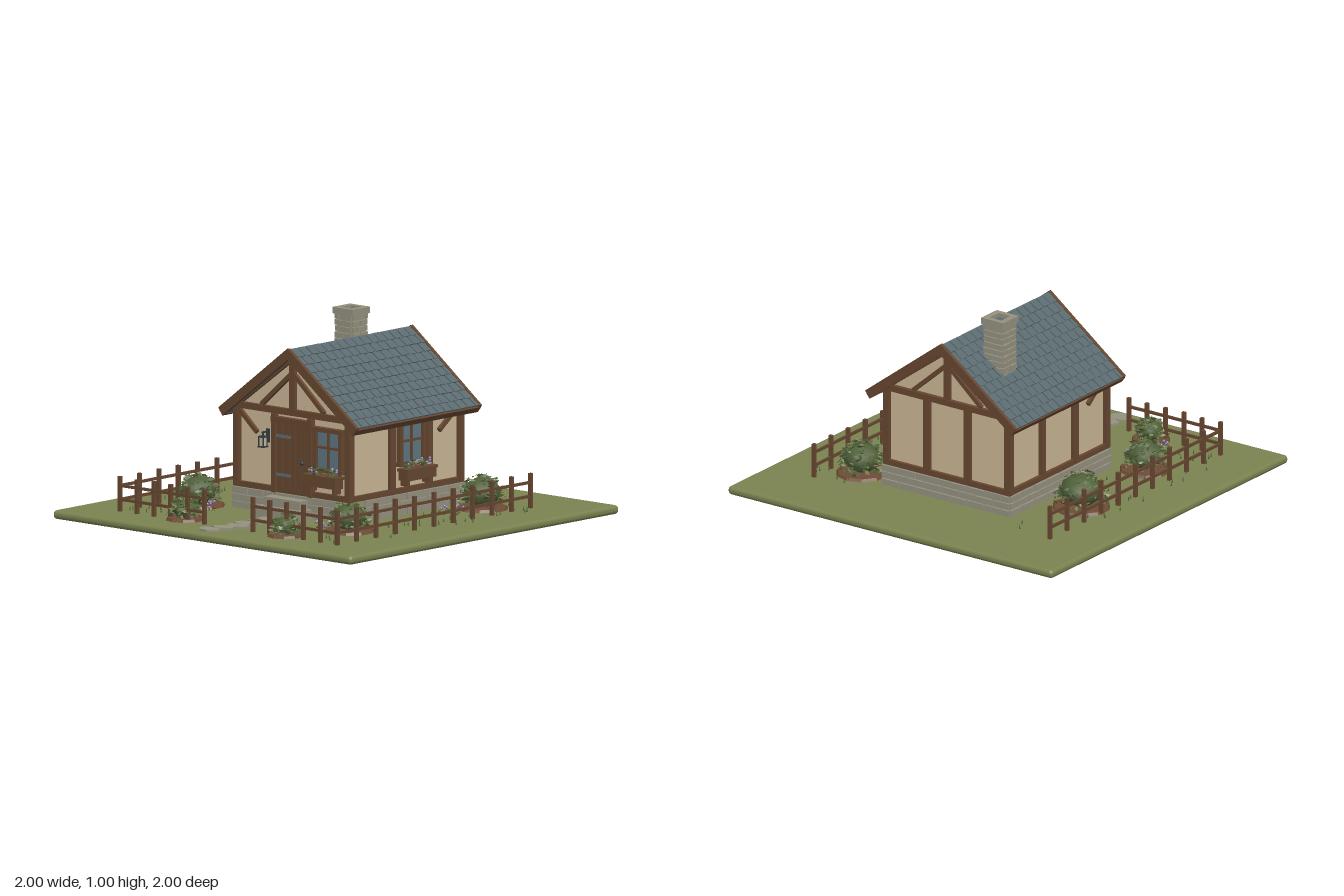
import * as THREE from 'three';
import { mergeGeometries } from 'three/addons/utils/BufferGeometryUtils.js';
import { RoundedBoxGeometry } from 'three/addons/geometries/RoundedBoxGeometry.js';

const mat = (name, color) => Object.assign(new THREE.MeshStandardMaterial({ color }), { name });
const M = {
  grass: mat('grass', 0x7a8250), plaster: mat('plaster', 0xc9b594), timber: mat('timber', 0x664630),
  stone: mat('stone', 0x94917f), slate: mat('slate', 0x5b6b70), dark: mat('darkSlate', 0x323c40),
  glass: mat('glass', 0x5d7682), leaf: mat('foliage', 0x4f6038), soil: mat('soil', 0x6f4b36),
  flower: mat('flower', 0x8a78ac),
};
M.leaf.side = THREE.DoubleSide;
M.grass.side = THREE.DoubleSide;

let seed = 7;
const rnd = (a = 0, b = 1) => {
  seed = (seed * 16807) % 2147483647;
  return a + (b - a) * (seed / 2147483647);
};

const bg = (w, h, d, x, y, z) => new THREE.BoxGeometry(w, h, d).translate(x, y, z);
function add(parent, name, material, geo) {
  const m = new THREE.Mesh(Array.isArray(geo) ? mergeGeometries(geo) : geo, material);
  m.name = name;
  parent.add(m);
  return m;
}
const box = (p, name, material, ...dims) => add(p, name, material, bg(...dims));
function group(parent, name, x = 0, y = 0, z = 0, ry = 0) {
  const g = new THREE.Group();
  g.name = name;
  g.position.set(x, y, z);
  g.rotation.y = ry;
  parent.add(g);
  return g;
}
// Bar in the local xy plane between two points
function bar(x1, y1, x2, y2, w, d, z) {
  return new THREE.BoxGeometry(Math.hypot(x2 - x1, y2 - y1), w, d)
    .rotateZ(Math.atan2(y2 - y1, x2 - x1)).translate((x1 + x2) / 2, (y1 + y2) / 2, z);
}
// Small folded leaves scattered on a dome
function leaves(n, rx, ry, rz, size) {
  return Array.from({ length: n }, () => {
    const a = rnd(0, Math.PI * 2), e = Math.asin(rnd(-0.1, 1)), r = rnd(0.85, 1.1);
    return new THREE.CircleGeometry(size * rnd(0.7, 1.3), 4).scale(1, 0.5, 1)
      .rotateX(rnd(-1.6, 0)).rotateY(rnd(0, 6.28)).rotateZ(rnd(-0.6, 0.6))
      .translate(Math.cos(a) * Math.cos(e) * rx * r, Math.sin(e) * ry * r, Math.sin(a) * Math.cos(e) * rz * r);
  });
}
const blooms = (n, rx, y0, y1, rz) => Array.from({ length: n }, () =>
  new THREE.IcosahedronGeometry(0.008, 0).translate(rnd(-rx, rx), rnd(y0, y1), rnd(-rz, rz)));

// Window with cross bars, sill and planted box; local z points out of the wall
function addWindow(wall, u) {
  const g = group(wall, 'window', u, 0, 0);
  box(g, 'glass', M.glass, 0.16, 0.2, 0.008, 0, 0.4, 0.006);
  add(g, 'windowFrame', M.timber, [
    bg(0.022, 0.22, 0.03, -0.085, 0.4, 0.012), bg(0.022, 0.22, 0.03, 0.085, 0.4, 0.012),
    bg(0.205, 0.022, 0.036, 0, 0.505, 0.014), bg(0.2, 0.02, 0.034, 0, 0.3, 0.014),
    bg(0.012, 0.2, 0.016, 0, 0.4, 0.012), bg(0.16, 0.012, 0.016, 0, 0.415, 0.012)]);
  const p = group(g, 'planter', 0, 0.25, 0.055);
  add(p, 'planterBox', M.timber, [bg(0.215, 0.05, 0.06, 0, 0, 0), bg(0.225, 0.014, 0.072, 0, 0.028, 0),
    bg(0.016, 0.04, 0.05, -0.08, -0.035, -0.01), bg(0.016, 0.04, 0.05, 0.08, -0.035, -0.01)]);
  add(p, 'planterLeaves', M.leaf, leaves(80, 0.1, 0.035, 0.03, 0.013).map(l => l.translate(0, 0.035, 0)));
  add(p, 'planterFlowers', M.flower, blooms(9, 0.1, 0.045, 0.07, 0.03));
}

// Timber lines shared by all walls
function addTimbers(wall, half, posts, beamY) {
  add(wall, 'wallTimbers', M.timber, [
    ...[-half + 0.012, ...posts, half - 0.012].map(u => bg(0.036, 0.4, 0.03, u, 0.355, 0.005)),
    bg(half * 2, 0.032, 0.034, 0, beamY, 0.005), bg(half * 2, 0.028, 0.026, 0, 0.168, 0.005)]);
}
const addGableTimbers = wall => add(wall, 'gableTimbers', M.timber, [
  bg(0.034, 0.28, 0.028, 0, 0.71, 0.005),
  ...[-1, 1].flatMap(s => [bar(s * 0.21, 0.585, s * 0.015, 0.755, 0.022, 0.024, 0.005),
    bar(s * 0.41, 0.545, 0, 0.845, 0.03, 0.024, 0.005)])]);

// Courses of staggered blocks around a rectangle
function courses(w, d, y0, rows, rh, len) {
  const out = [];
  for (let r = 0; r < rows; r++) {
    for (const [span, off, turn] of [[w, d / 2, 0], [w, d / 2, Math.PI], [d, w / 2, Math.PI / 2], [d, w / 2, -Math.PI / 2]]) {
      for (let a = -span / 2 - (r % 2) * len / 2; a < span / 2 - 0.001; a += len) {
        const l = Math.max(a, -span / 2), e = Math.min(a + len, span / 2);
        if (e - l < 0.015) continue;
        out.push(bg(e - l - 0.006, rh - 0.006, 0.02, (l + e) / 2, y0 + (r + 0.5) * rh, off - 0.006 + rnd(0, 0.005)).rotateY(turn));
      }
    }
  }
  return out;
}

function addRoof(house) {
  const a = Math.atan2(0.345, 0.455), L = 0.571, D = 0.9, rows = 10, W = 0.056, rl = L / rows;
  [0, Math.PI].forEach(turn => {
    const g = group(house, 'roofSlope', 0, 0.885, -0.105);
    g.rotation.set(0, turn, -a);
    box(g, 'roofDeck', M.slate, L, 0.028, D, L / 2, -0.022, 0);
    box(g, 'shingleJoints', M.dark, L - 0.01, 0.006, D - 0.01, L / 2, -0.005, 0);
    const tiles = [];
    for (let r = 0; r < rows; r++) {
      for (let z = -D / 2 - (r % 2) * W / 2; z < D / 2 - 0.002; z += W) {
        const z0 = Math.max(z, -D / 2), z1 = Math.min(z + W, D / 2);
        tiles.push(new THREE.BoxGeometry(rl + 0.004, 0.008, Math.max(z1 - z0 - 0.007, 0.004)).rotateZ(0.07)
          .translate((r + 0.5) * rl, 0.001 + rnd(0, 0.002), (z0 + z1) / 2));
      }
    }
    add(g, 'shingles', M.slate, tiles);
    add(g, 'roofTrim', M.timber, [bg(L + 0.01, 0.046, 0.018, L / 2, -0.015, 0.457),
      bg(L + 0.01, 0.046, 0.018, L / 2, -0.015, -0.457), bg(0.014, 0.034, 0.93, L, -0.022, 0)]);
  });
}

function addShrub(parent, x, z, bed, r, h) {
  const g = group(parent, 'shrub', x, 0.045, z);
  add(g, 'soilBed', M.soil, new THREE.CylinderGeometry(bed * 0.93, bed, 0.016, 10).toNonIndexed().translate(0, 0.006, 0))
    .geometry.computeVertexNormals();
  add(g, 'shrubCore', M.leaf, new THREE.IcosahedronGeometry(1, 1).scale(r * 0.85, h * 0.45, r * 0.85).translate(0, h * 0.5, 0));
  [['darkLeaves', M.leaf, 170], ['lightLeaves', M.grass, 80]].forEach(([n, m, c]) =>
    add(g, n, m, leaves(c, r, h * 0.72, r, 0.017).map(l => l.translate(0, h * 0.25, 0))));
}

export function createModel() {
  const root = new THREE.Group();
  root.name = 'cottageGarden';
  add(root, 'lawn', M.grass, new RoundedBoxGeometry(2, 0.045, 2, 3, 0.02).translate(0, 0.0225, 0));

  // House body
  const house = group(root, 'house');
  const s = new THREE.Shape([[-0.37, 0.14], [0.37, 0.14], [0.37, 0.56], [0, 0.838], [-0.37, 0.56]].map(p => new THREE.Vector2(...p)));
  add(house, 'plasterWalls', M.plaster, new THREE.ExtrudeGeometry(s, { depth: 0.81, bevelEnabled: false }).translate(0, 0, -0.5));
  const base = group(house, 'foundation', 0, 0, -0.095);
  box(base, 'foundationCore', M.stone, 0.775, 0.112, 0.845, 0, 0.1, 0);
  add(base, 'foundationStones', M.stone, courses(0.785, 0.855, 0.045, 3, 0.037, 0.105));
  addRoof(house);

  // Front wall: door, window, lantern
  const front = group(house, 'frontWall', 0, 0, 0.31);
  addTimbers(front, 0.385, [], 0.567);
  addGableTimbers(front);
  add(front, 'frontBrace', M.timber, bar(-0.36, 0.545, -0.24, 0.44, 0.022, 0.024, 0.005));
  add(front, 'doorFrame', M.timber, [bg(0.028, 0.4, 0.036, -0.118, 0.35, 0.01), bg(0.028, 0.4, 0.036, 0.125, 0.35, 0.01),
    bg(0.27, 0.028, 0.04, 0.003, 0.523, 0.01)]);
  box(front, 'doorGaps', M.dark, 0.215, 0.37, 0.008, 0.003, 0.33, 0.004);
  add(front, 'doorPlanks', M.timber, [0, 1, 2, 3, 4].map(i => bg(0.038, 0.36, 0.014, -0.081 + i * 0.042, 0.33, 0.01)));
  add(front, 'doorHinges', M.slate, [0.245, 0.44].map(y => bg(0.095, 0.014, 0.006, -0.053, y, 0.02)));
  add(front, 'doorHandle', M.dark, new THREE.SphereGeometry(0.011, 10, 8).translate(0.075, 0.32, 0.026));
  addWindow(front, 0.243);
  const lamp = group(front, 'lantern', -0.172, 0.405, 0.042);
  box(lamp, 'lanternGlow', M.plaster, 0.024, 0.044, 0.024, 0, 0, 0);
  add(lamp, 'lanternFrame', M.dark, [bg(0.038, 0.007, 0.038, 0, -0.026, 0), bg(0.036, 0.007, 0.036, 0, 0.024, 0),
    bg(0.008, 0.008, 0.05, 0, 0.046, -0.02), bg(0.02, 0.07, 0.007, 0, 0.025, -0.038), bg(0.006, 0.02, 0.006, 0, 0.036, 0),
    ...[-1, 1].flatMap(i => [-1, 1].map(j => bg(0.005, 0.05, 0.005, i * 0.014, 0, j * 0.014)))]);

  // Back and side walls
  const back = group(house, 'backWall', 0, 0, -0.5, Math.PI);
  addTimbers(back, 0.385, [-0.125, 0.125], 0.567);
  addGableTimbers(back);
  const right = group(house, 'rightWall', 0.37, 0, -0.095, Math.PI / 2);
  addTimbers(right, 0.42, [-0.1, 0.175], 0.537);
  addWindow(right, 0.04);
  add(right, 'sideBrace', M.timber, bar(0.25, 0.435, 0.375, 0.53, 0.022, 0.024, 0.005));
  const left = group(house, 'leftWall', -0.37, 0, -0.095, -Math.PI / 2);
  addTimbers(left, 0.42, [-0.135, 0.14], 0.537);
  add(left, 'sideBrace', M.timber, bar(0.25, 0.435, 0.375, 0.53, 0.022, 0.024, 0.005));

  // Chimney
  const ch = group(house, 'chimney', -0.174, 0, -0.306);
  box(ch, 'chimneyCore', M.stone, 0.105, 0.36, 0.105, 0, 0.79, 0);
  add(ch, 'chimneyStones', M.stone, courses(0.113, 0.113, 0.66, 10, 0.031, 0.06));
  add(ch, 'chimneyCap', M.stone, [[0.135, 0.028, 0, 0.052], [0.135, 0.028, 0, -0.052], [0.031, 0.076, 0.052, 0], [0.031, 0.076, -0.052, 0]]
    .map(([w, d, x, z]) => bg(w, 0.032, d, x, 0.983, z)));
  box(ch, 'flue', M.slate, 0.08, 0.006, 0.08, 0, 0.975, 0);

  // Steps and path
  box(root, 'lowerStep', M.stone, 0.29, 0.052, 0.14, 0, 0.07, 0.39);
  box(root, 'upperStep', M.stone, 0.24, 0.045, 0.09, 0, 0.118, 0.36);
  [[0.005, 0.505], [0.02, 0.585], [0, 0.665], [0.012, 0.745], [-0.005, 0.825], [-0.025, 0.91]].forEach(([x, z]) => {
    const pts = Array.from({ length: 8 }, (_, i) => {
      const r = rnd(0.85, 1.1);
      return new THREE.Vector2(Math.cos(i * Math.PI / 4 + 0.3) * 0.066 * r, Math.sin(i * Math.PI / 4 + 0.3) * 0.046 * r);
    });
    add(root, 'pathStone', M.stone, new THREE.ExtrudeGeometry(new THREE.Shape(pts), { depth: 0.014, bevelEnabled: false })
      .rotateX(-Math.PI / 2).translate(x, 0.042, z));
  });

  // Fence runs
  function fence(x1, z1, x2, z2, n) {
    const len = Math.hypot(x2 - x1, z2 - z1);
    const g = group(root, 'fence', (x1 + x2) / 2, 0, (z1 + z2) / 2, Math.atan2(-(z2 - z1), x2 - x1));
    const parts = [0.105, 0.175].map(y => bg(len, 0.014, 0.01, 0, y, 0));
    for (let i = 0; i <= n; i++) parts.push(bg(0.018, 0.18, 0.018, -len / 2 + len * i / n, 0.13 + rnd(-0.003, 0.003), 0));
    add(g, 'fenceTimbers', M.timber, parts);
  }
  [-1, 1].forEach(k => {
    fence(k * 0.727, -0.64, k * 0.727, 0.797, 10);
    fence(k * 0.727, 0.797, k * 0.162, 0.797, 5);
  });

  // Planting
  [[-0.59, -0.19, 0.15, 0.125, 0.18], [0.565, -0.46, 0.133, 0.11, 0.17], [-0.545, 0.415, 0.135, 0.105, 0.16],
    [0.51, 0.47, 0.13, 0.1, 0.15], [-0.325, 0.76, 0.1, 0.075, 0.115], [0.365, 0.778, 0.095, 0.07, 0.11]]
    .forEach(b => addShrub(root, ...b));
  [[-0.4, 0.5], [-0.45, 0.69], [0.39, 0.55], [0.55, -0.25]].forEach(([x, z]) => {
    const g = group(root, 'flowerClump', x, 0.045, z);
    add(g, 'flowerHeads', M.flower, blooms(9, 0.05, 0.025, 0.05, 0.05));
    add(g, 'flowerLeaves', M.leaf, leaves(14, 0.05, 0.02, 0.05, 0.012));
  });
  add(root, 'grassTufts', M.leaf, Array.from({ length: 90 }, (_, i) =>
    new THREE.ConeGeometry(0.006, rnd(0.02, 0.035), 4).translate((i % 2 ? 1 : -1) * rnd(0.47, 0.8), 0.055, rnd(-0.65, 0.78))));
  return root;
}
